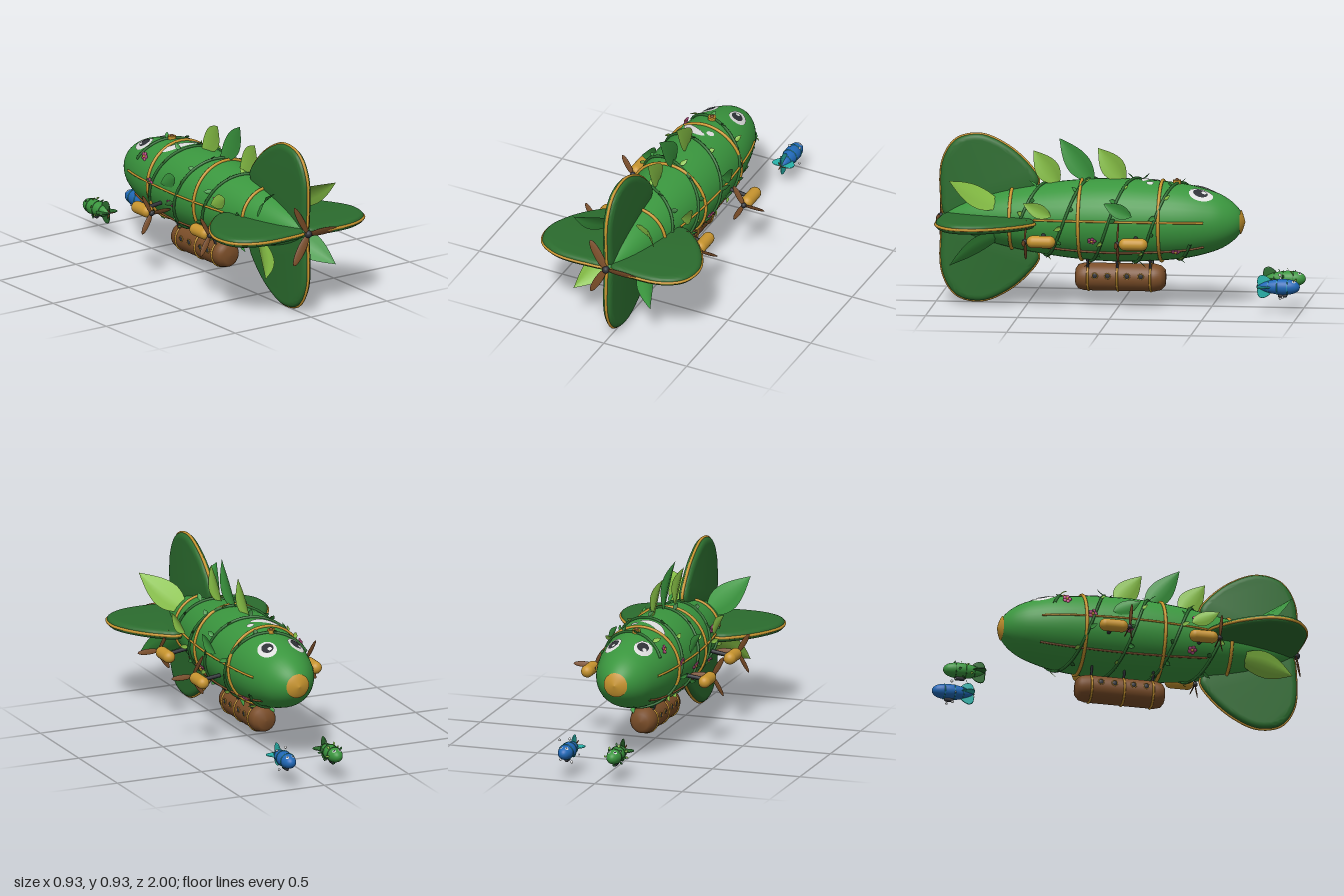
import * as THREE from 'three';
import { toCreasedNormals } from 'three/addons/utils/BufferGeometryUtils.js';

const mat = (name, color) => {
  const m = new THREE.MeshStandardMaterial({ color, side: THREE.DoubleSide });
  m.name = name;
  return m;
};
const M = {
  green: mat('leaf green', 0x3a963e), dark: mat('deep green', 0x2b6c2e), lime: mat('lime', 0x86bf45),
  gold: mat('gold', 0xc8952f), brown: mat('wood brown', 0x7a4d28), black: mat('charcoal', 0x303238),
  white: mat('white', 0xdedede), blue: mat('blue', 0x2069b8), cyan: mat('cyan', 0x27b3ab), pink: mat('pink', 0xcc5590),
};
const V = (x, y, z) => new THREE.Vector3(x, y, z);
const AXIS = 0.465;

function add(parent, name, geo, material, x = 0, y = 0, z = 0) {
  const m = new THREE.Mesh(geo, material);
  m.name = name;
  m.position.set(x, y, z);
  parent.add(m);
  return m;
}
function group(parent, name, x = 0, y = 0, z = 0) {
  const g = new THREE.Group();
  g.name = name;
  g.position.set(x, y, z);
  if (parent) parent.add(g);
  return g;
}
const tube = (pts, r, n = 60, closed = false) =>
  new THREE.TubeGeometry(new THREE.CatmullRomCurve3(pts, closed), n, r, 8, closed);
function rod(parent, name, a, b, r, material) {
  add(parent, name, new THREE.TubeGeometry(new THREE.LineCurve3(a, b), 1, r, 10), material);
}

// Hull profile as [radius, z], nose at -z
const profile = new THREE.SplineCurve([[0, -0.675], [0.065, -0.65], [0.122, -0.59], [0.165, -0.5], [0.203, -0.34],
  [0.223, -0.1], [0.223, 0.1], [0.203, 0.33], [0.158, 0.6], [0.1, 0.8], [0.03, 0.95], [0, 0.965]]
  .map(p => new THREE.Vector2(...p))).getPoints(88);
function hullR(z) {
  const i = Math.max(1, profile.findIndex(p => p.y >= z)), a = profile[i - 1], b = profile[i];
  return a.x + (b.x - a.x) * (z - a.y) / (b.y - a.y);
}
const at = (z, a, off = 0) => V((hullR(z) + off) * Math.cos(a), (hullR(z) + off) * Math.sin(a), z);
const hullGeo = pts => new THREE.LatheGeometry(pts, 40).rotateX(Math.PI / 2);

// Thin oval patch following the hull skin; bend curves it into a crescent
function patch(parent, name, z, a, ru, rv, off, material, turn = 0, bend = 0) {
  const geo = new THREE.RingGeometry(0.001, 1, 32, 5), p = geo.attributes.position;
  for (let i = 0; i < p.count; i++) {
    const u = p.getX(i) * ru, v = p.getY(i) * rv + bend * p.getX(i) ** 2;
    const s = u * Math.cos(turn) - v * Math.sin(turn), t = u * Math.sin(turn) + v * Math.cos(turn);
    const q = at(z + t, a - s / hullR(z), off);
    p.setXYZ(i, q.x, q.y, q.z);
  }
  geo.computeVertexNormals();
  add(parent, name, geo, material);
}
function face(parent) {
  const g = group(parent, 'face');
  for (const s of [-1, 1]) {
    const a = Math.PI / 2 - s * 0.5;
    patch(g, 'eyeWhite', -0.45, a, 0.05, 0.065, 0.004, M.white);
    patch(g, 'pupil', -0.447, a + s * 0.03, 0.031, 0.039, 0.007, M.black);
    patch(g, 'eyeGlint', -0.465, a + 0.06, 0.011, 0.013, 0.01, M.white);
  }
  return g;
}

// Folded leaf from base along dir, with its blade spread along side
function leaf(parent, name, base, dir, side, len, width, material) {
  const geo = new THREE.PlaneGeometry(2, 1, 4, 12).translate(0, 0.5, 0), p = geo.attributes.position;
  for (let i = 0; i < p.count; i++) {
    const t = p.getY(i), x = p.getX(i) * width / 2 * Math.sin(Math.PI * Math.pow(t, 0.85));
    p.setXYZ(i, x, t * len, Math.abs(x) * 0.25 + len * 0.12 * t * (1 - t));
  }
  geo.computeVertexNormals();
  const y = dir.clone().normalize(), z = side.clone().cross(y).normalize(), x = y.clone().cross(z);
  geo.applyMatrix4(new THREE.Matrix4().makeBasis(x, y, z).setPosition(base));
  add(parent, name, geo, material);
}

// Cushioned tail fin with a piped edge, outline as [z, radius]
const finPts = [[0.95, 0.01], [0.972, 0.12], [0.963, 0.31], [0.89, 0.425], [0.76, 0.455], [0.62, 0.4], [0.5, 0.3],
  [0.442, 0.21], [0.48, 0.145], [0.65, 0.08], [0.82, 0.01]];
const finEdge = new THREE.CatmullRomCurve3(finPts.map(p => V(0, p[1], p[0])), true);
const finGeo = toCreasedNormals(new THREE.ExtrudeGeometry(
  new THREE.Shape(finEdge.getPoints(64).map(p => new THREE.Vector2(p.z, p.y))),
  { depth: 0.012, bevelThickness: 0.021, bevelSize: 0.03, bevelOffset: -0.03, bevelSegments: 5, steps: 1 },
).translate(0, 0, -0.006).rotateY(-Math.PI / 2), 0.7);
function fins(parent, material, trim) {
  for (let i = 0; i < 4; i++) {
    const g = group(parent, 'tailFin');
    add(g, 'finPanel', finGeo, material);
    add(g, 'finTrim', new THREE.TubeGeometry(finEdge, 80, 0.008, 8, true), trim);
    g.rotation.z = i * Math.PI / 2;
  }
}
function propeller(parent, x, y, z, len, hub) {
  const g = group(parent, 'propeller', x, y, z);
  add(g, 'hub', new THREE.SphereGeometry(hub, 16, 12), M.black);
  for (let i = 0; i < 3; i++) {
    const arm = group(g, 'bladeArm');
    arm.rotation.z = i * Math.PI * 2 / 3;
    const b = add(arm, 'blade', new THREE.SphereGeometry(1, 20, 12), M.brown, len / 2);
    b.scale.set(len / 2, len * 0.125, len * 0.03);
    b.rotation.x = 0.4;
  }
}

// Small escort ship, a squat copy of the main hull
function escort(root, name, x, body, finMat, bandMat) {
  const g = group(root, name, x, 0.145, -0.905);
  g.scale.set(0.19, 0.19, 0.14);
  add(g, 'escortHull', hullGeo(profile), body);
  for (const z of [-0.2, 0.2, 0.55]) add(g, 'band', new THREE.TorusGeometry(hullR(z), 0.014, 8, 32), bandMat, 0, 0, z);
  face(g);
  const tail = group(g, 'escortTail');
  tail.scale.set(0.72, 0.72, 1);
  fins(tail, finMat, finMat);
  propeller(g, 0, 0, 0.98, 0.16, 0.03);
  add(g, 'escortGondola', new THREE.CapsuleGeometry(0.06, 0.25, 6, 12).rotateX(Math.PI / 2), M.black, 0, -0.25, 0);
  return g;
}

export function createModel() {
  const root = group(null, 'leafAirship');
  const ship = group(root, 'mainShip', 0, AXIS, 0);

  // Hull, nose cap, rings and lengthwise ribs
  add(ship, 'hull', hullGeo(profile), M.green);
  const cap = profile.filter(p => p.y < -0.645).map(p => new THREE.Vector2(p.x * 1.03, p.y - 0.006));
  add(ship, 'noseCap', hullGeo(cap), M.gold);
  for (const z of [-0.23, 0.205, 0.585])
    add(ship, 'hullRing', new THREE.TorusGeometry(hullR(z) + 0.003, 0.009, 10, 64), M.gold, 0, 0, z);
  for (const a of [0.1, Math.PI - 0.1, -0.75, Math.PI + 0.75]) {
    const pts = Array.from({ length: 15 }, (_, i) => at(-0.47 + i * 0.92 / 14, a, 0.003));
    add(ship, 'hullRib', tube(pts, 0.006), a < -0.5 || a > 3.2 ? M.brown : M.gold);
  }

  // Face, sheen marks and brow stud
  const f = face(ship);
  patch(f, 'sheenMark', -0.165, Math.PI / 2 + 0.27, 0.105, 0.03, 0.004, M.white, 0.55, -0.02);
  patch(f, 'sheenDot', -0.17, Math.PI / 2 - 0.27, 0.021, 0.02, 0.004, M.white);
  add(f, 'browStud', new THREE.CylinderGeometry(0.022, 0.022, 0.03, 20), M.gold, 0, hullR(-0.31) + 0.002, -0.31);
  add(f, 'studCentre', new THREE.SphereGeometry(0.011, 12, 8), M.brown, 0, hullR(-0.31) + 0.016, -0.31);

  // Two winding vines with small leaves
  for (let k = 0; k < 2; k++) {
    const vine = t => [-0.4 + t * 0.95, 2.6 + k * Math.PI - t * Math.PI * 3.9];
    const pts = Array.from({ length: 61 }, (_, i) => at(...vine(i / 60), 0.004));
    add(ship, 'vine', tube(pts, 0.008, 180), M.dark);
    for (let i = 1; i < 26; i++) {
      const [z, a] = vine(i / 26), s = i % 2 ? 1 : -1;
      const out = V(Math.cos(a), Math.sin(a), 0), tan = V(-Math.sin(a), Math.cos(a), 0);
      const dir = out.clone().multiplyScalar(0.55).addScaledVector(tan, 0.5 * Math.sin(i * 2.3)).add(V(0, 0, s * 0.7));
      leaf(ship, 'vineLeaf', at(z, a, 0.006), dir, tan, 0.045 + 0.012 * Math.sin(i * 1.7), 0.026,
        [M.dark, M.lime, M.green][i % 3]);
    }
  }

  // Pink blossoms
  for (const [z, a] of [[0.13, -0.38], [-0.32, -0.75], [-0.33, 2.47], [0.38, 2.8], [0.0, 3.3], [-0.2, 3.0], [0.36, -2.6]]) {
    const g = group(ship, 'blossom');
    g.position.copy(at(z, a, 0.008));
    g.lookAt(at(z, a, 1));
    for (let i = 0; i < 5; i++) {
      const t = i * Math.PI * 0.4;
      add(g, 'petal', new THREE.SphereGeometry(0.011, 10, 8), M.pink, 0.015 * Math.cos(t), 0.015 * Math.sin(t), 0)
        .scale.z = 0.5;
    }
    add(g, 'blossomCentre', new THREE.SphereGeometry(0.008, 10, 8), M.gold, 0, 0, 0.004);
  }

  // Large leaves: upright on the back, flat on the flanks, splayed at the tail
  for (const [z, y, dz, dy, m] of [[0.33, 0.19, 0.14, 0.18, M.lime], [0.14, 0.2, 0.19, 0.24, M.green],
    [-0.03, 0.21, 0.15, 0.18, M.lime]])
    leaf(ship, 'backLeaf', V(0, y, z), V(0, dy, dz), V(0, dz, -dy), Math.hypot(dz, dy), 0.13, m);
  for (const s of [-1, 1]) for (const [z, y, m] of [[0.35, 0.04, M.lime], [-0.09, 0.05, M.green]]) {
    const a = Math.asin(y / hullR(z)), b = at(z, a, 0.012);
    leaf(ship, 'flankLeaf', V(b.x * s, b.y, z), V(0.01 * s, 0.07, 0.15), V(0, 0.9, -0.4), 0.17, 0.08, m);
  }
  for (const [sx, sy, m] of [[1, 1, M.lime], [-1, 1, M.green], [-1, -1, M.lime], [1, -1, M.green]])
    leaf(ship, 'tailLeaf', V(0.08 * sx, 0.08 * sy, 0.62), V(0.15 * sx, 0.15 * sy, 0.28), V(sy, -sx, 0), 0.355, 0.15, m);

  // Tail fins and main propeller
  fins(ship, M.dark, M.gold);
  propeller(ship, 0, 0, 0.975, 0.19, 0.021);

  // Engine pods on struts
  for (const s of [-1, 1]) for (const [x, z] of [[0.335, -0.11], [0.305, 0.395]]) {
    const g = group(ship, 'enginePod', s * x, -0.08, z);
    add(g, 'podBody', new THREE.CapsuleGeometry(0.034, 0.09, 8, 20).rotateX(Math.PI / 2), M.gold);
    rod(g, 'podStrut', V(0, 0, 0), V(-s * (x - 0.17), 0.02, 0), 0.011, M.black);
    propeller(g, 0, 0, 0.088, 0.125, 0.015);
  }

  // Gondola with bands, portholes and hangers
  const gon = group(root, 'gondola', 0, 0.152, 0);
  const gp = [[0, -0.25], [0.045, -0.246], [0.066, -0.225], [0.075, -0.19], [0.075, 0.19], [0.066, 0.225], [0.045, 0.24], [0, 0.243]];
  add(gon, 'cabin', hullGeo(gp.map(p => new THREE.Vector2(...p))), M.brown);
  for (const z of [-0.17, 0.01, 0.17]) {
    add(gon, 'cabinBand', new THREE.TorusGeometry(0.075, 0.006, 8, 40), M.gold, 0, 0, z);
    for (const s of [-1, 1]) rod(gon, 'hanger', V(s * 0.045, 0.05, z), V(s * 0.075, 0.13, z), 0.007, M.black);
  }
  for (const s of [-1, 1]) for (const z of [-0.12, -0.045, 0.06, 0.13]) {
    const g = group(gon, 'porthole', s * 0.074, 0.015, z);
    g.rotation.y = s * Math.PI / 2;
    add(g, 'portholeGlass', new THREE.SphereGeometry(0.014, 14, 8), M.black).scale.z = 0.3;
    add(g, 'portholeRim', new THREE.TorusGeometry(0.015, 0.003, 6, 20), M.gold);
  }

  // Escort ships: one leafy, one with bubbles
  const a = escort(root, 'greenEscort', -0.09, M.green, M.dark, M.dark);
  for (let i = 0; i < 14; i++) {
    const t = i * 2.4, z = -0.35 + i * 0.06;
    leaf(a, 'escortLeaf', at(z, t), V(Math.cos(t), Math.sin(t), 0.8), V(-Math.sin(t), Math.cos(t), 0), 0.13, 0.07,
      i % 3 ? M.dark : M.lime);
  }
  escort(root, 'blueEscort', 0.187, M.blue, M.cyan, M.cyan);
  for (const [x, y, z, r] of [[0.18, 0.208, -0.89, 0.008], [0.235, 0.2, -0.9, 0.007], [0.13, 0.123, -0.88, 0.005],
    [0.169, 0.08, -0.89, 0.008], [0.227, 0.094, -0.91, 0.007]])
    add(root, 'bubble', new THREE.SphereGeometry(r, 12, 8), M.white, x, y, z);
  return root;
}
